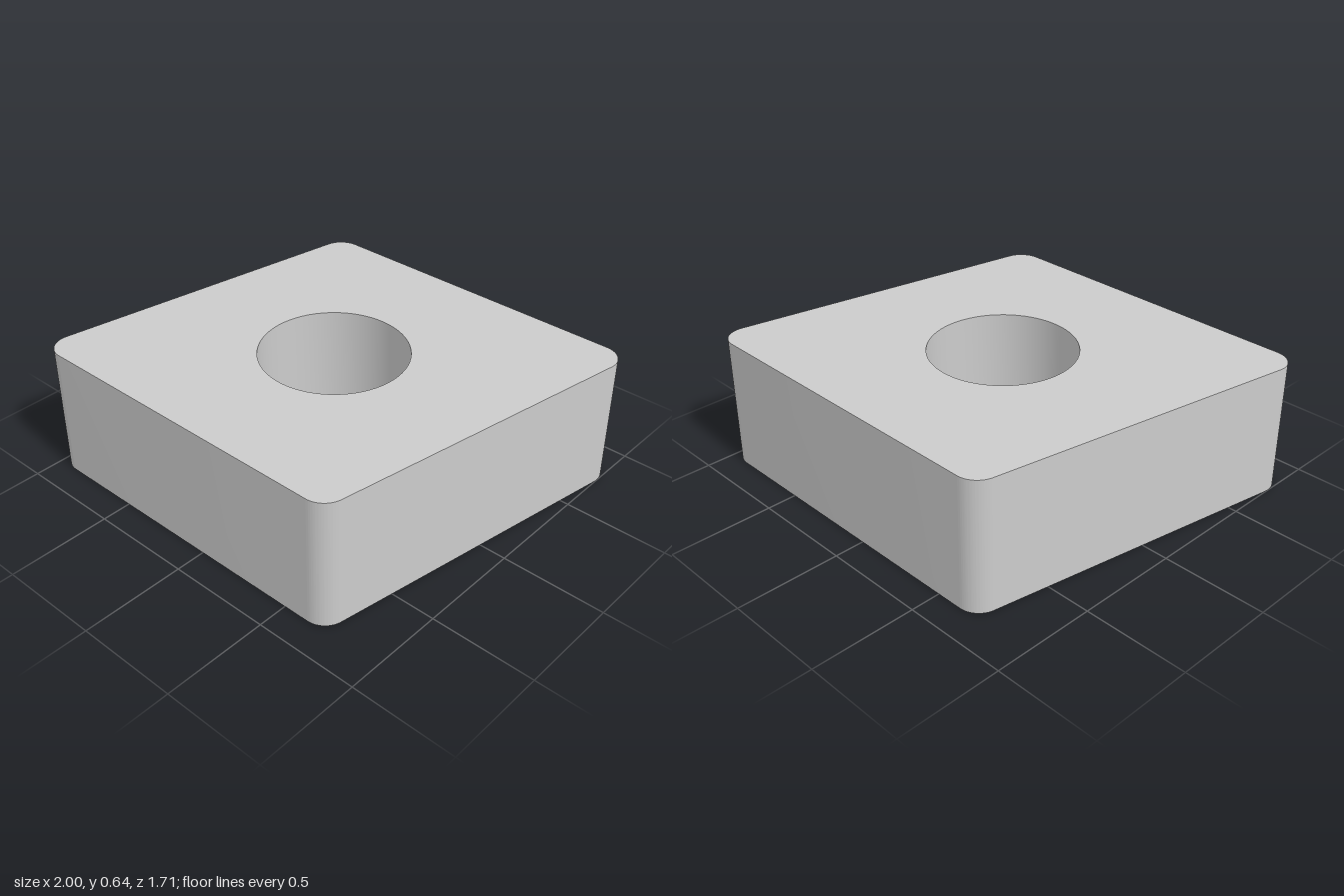
import * as THREE from 'three';
import { toCreasedNormals } from 'three/addons/utils/BufferGeometryUtils.js';

const INRADIUS = 0.856;  // half the distance between opposite sides
const CORNER = 0.108;    // corner rounding
const HOLE = 0.348;
const HEIGHT = 0.642;
const SLANT = THREE.MathUtils.degToRad(10);

// Rounded 80-degree rhombus with a central hole
function rhombusShape() {
  const q = INRADIUS - CORNER;
  const wide = q * (1 / Math.cos(SLANT) + Math.tan(SLANT));
  const narrow = q * (1 / Math.cos(SLANT) - Math.tan(SLANT));
  const quarter = Math.PI / 2;
  const shape = new THREE.Shape();
  // Each half has one sharp and one blunt corner; the other half is its half-turn
  for (const [sign, turn] of [[1, 0], [-1, Math.PI]]) {
    shape.absarc(sign * wide, sign * q, CORNER, turn - SLANT, turn + quarter, false);
    shape.absarc(-sign * narrow, sign * q, CORNER, turn + quarter, turn + Math.PI - SLANT, false);
  }
  shape.closePath();
  shape.holes.push(new THREE.Path().absarc(0, 0, HOLE, 0, Math.PI * 2, true));
  return shape;
}

export function createModel() {
  const group = new THREE.Group();
  group.name = 'rhombicInsert';

  // Flat plate, extruded upwards from the ground
  const plate = new THREE.ExtrudeGeometry(rhombusShape(), {
    depth: HEIGHT, bevelEnabled: false, curveSegments: 32,
  });
  plate.rotateX(-Math.PI / 2);

  const body = new THREE.Mesh(
    toCreasedNormals(plate, Math.PI / 6),
    new THREE.MeshStandardMaterial({ color: 0xcccccc }),
  );
  body.name = 'insertBody';
  group.add(body);
  return group;
}
